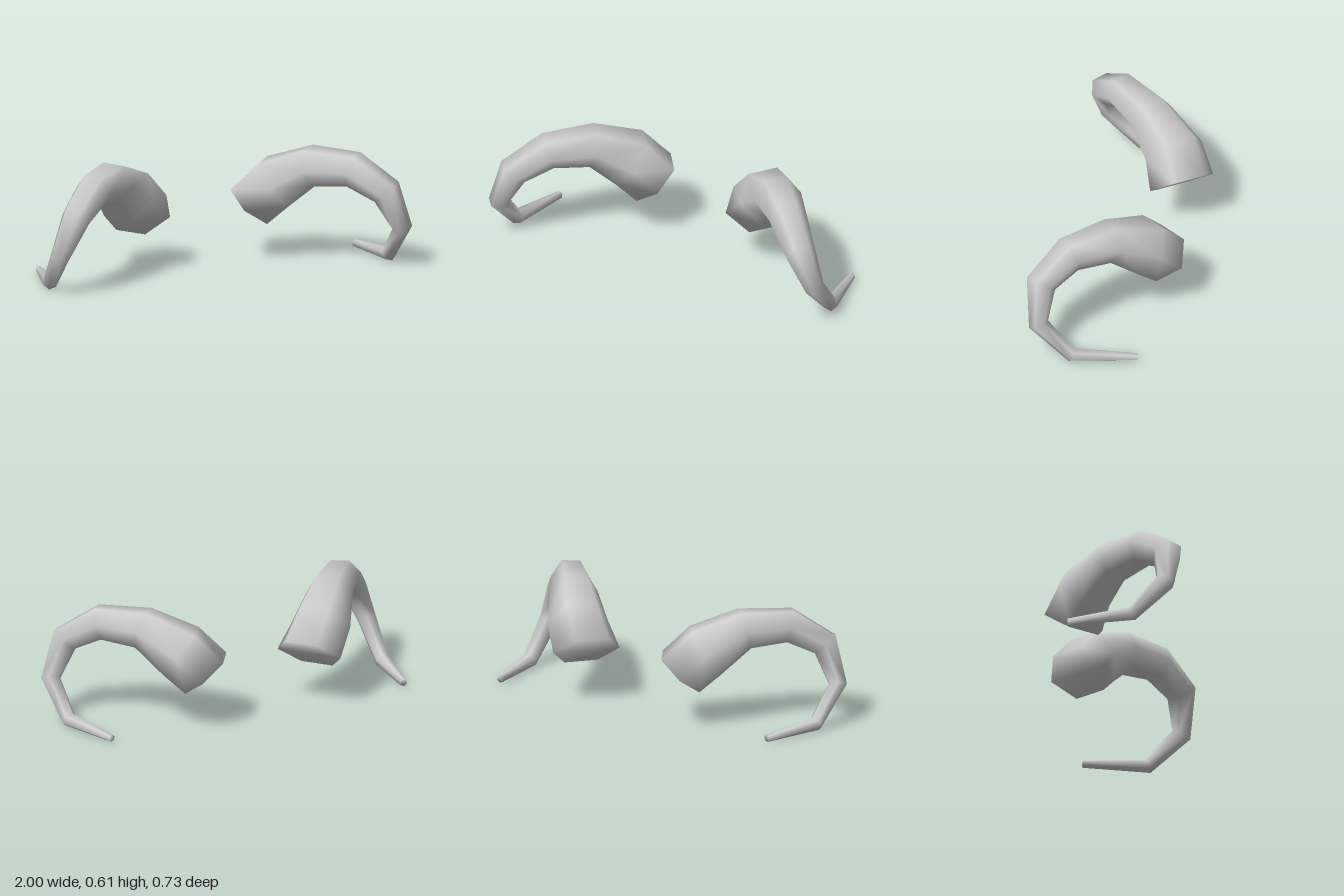
import * as THREE from 'three';

// Horn rings from base to tip: centre x, y, z, then half-width and half-height radius
const RINGS = [
  [0.31, 0.284, -0.218, 0.18, 0.151],
  [0.42, 0.404, -0.152, 0.163, 0.158],
  [0.56, 0.512, 0.0, 0.124, 0.112],
  [0.72, 0.518, 0.175, 0.1, 0.096],
  [0.86, 0.413, 0.295, 0.082, 0.082],
  [0.948, 0.215, 0.29, 0.053, 0.053],
  [0.94, 0.038, 0.115, 0.04, 0.04],
  [0.875, 0.025, -0.22, 0.02, 0.02],
];
const SIDES = 6;

// Six-sided tapering tube with closed ends; side = 1 or -1 mirrors it in x
function hornGeometry(side) {
  const centres = RINGS.map(([x, y, z]) => new THREE.Vector3(x, y, z));
  const last = centres.length - 1;
  const direction = (i) => centres[i + 1].clone().sub(centres[i]).normalize();
  const across = new THREE.Vector3(-0.58, 0, 0.81);
  const positions = [];
  const index = [];
  const face = (a, b, c) => (side > 0 ? index.push(a, b, c) : index.push(a, c, b));

  centres.forEach((centre, i) => {
    // Tangent bisects the neighbouring segments; the base is cut at its own angle
    const tangent = i === 0 ? new THREE.Vector3(0.53, 0.75, 0.38)
      : i === last ? direction(i - 1)
      : direction(i - 1).add(direction(i));
    tangent.normalize();
    across.addScaledVector(tangent, -across.dot(tangent)).normalize();
    const up = tangent.clone().cross(across);
    for (let j = 0; j < SIDES; j++) {
      const a = (j / SIDES) * Math.PI * 2;
      const p = centre.clone()
        .addScaledVector(across, Math.cos(a) * RINGS[i][3])
        .addScaledVector(up, Math.sin(a) * RINGS[i][4]);
      positions.push(p.x * side, p.y, p.z);
    }
  });

  // Side walls
  for (let i = 0; i < last; i++) {
    for (let j = 0; j < SIDES; j++) {
      const a = i * SIDES + j;
      const b = i * SIDES + ((j + 1) % SIDES);
      face(a, b, b + SIDES);
      face(a, b + SIDES, a + SIDES);
    }
  }
  // End caps
  const tip = last * SIDES;
  for (let k = 1; k < SIDES - 1; k++) {
    face(0, k + 1, k);
    face(tip, tip + k, tip + k + 1);
  }

  const geometry = new THREE.BufferGeometry();
  geometry.setAttribute('position', new THREE.Float32BufferAttribute(positions, 3));
  geometry.setIndex(index);
  geometry.computeVertexNormals();
  return geometry;
}

export function createModel() {
  const group = new THREE.Group();
  group.name = 'hornPair';
  const hornGrey = new THREE.MeshStandardMaterial({ color: 0xcccccc });
  hornGrey.name = 'hornGrey';

  for (const [name, side] of [['leftHorn', 1], ['rightHorn', -1]]) {
    const horn = new THREE.Mesh(hornGeometry(side), hornGrey);
    horn.name = name;
    group.add(horn);
  }
  return group;
}
